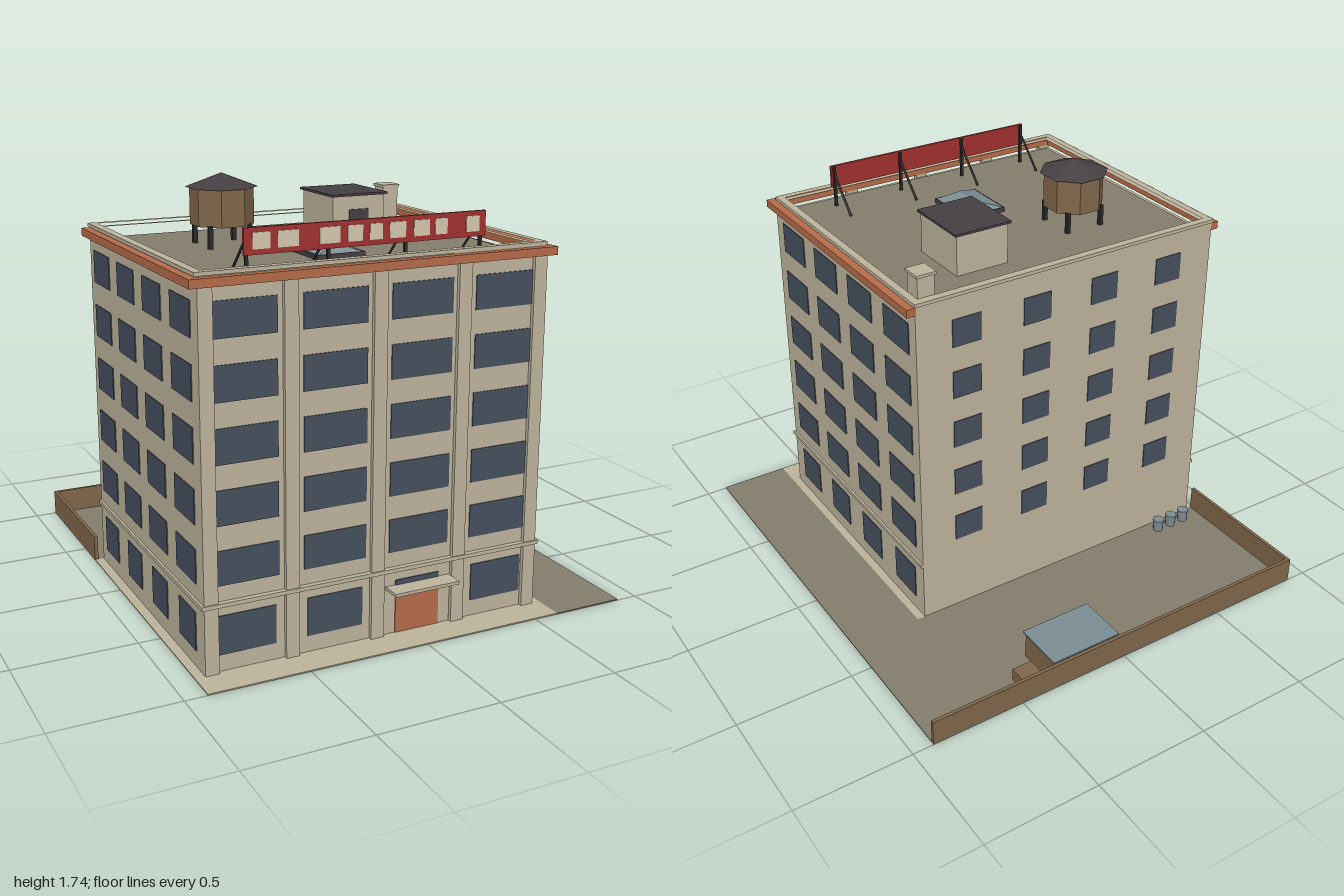
import * as THREE from 'three';

const mat = (name, color) => {
  const m = new THREE.MeshStandardMaterial({ color });
  m.name = name;
  return m;
};

export function createModel() {
  const stone = mat('tan stone', 0xbdb39c);
  const terracotta = mat('terracotta', 0xb56b49);
  const pane = mat('window blue', 0x454f5d);
  const gravel = mat('grey gravel', 0x827d6c);
  const wood = mat('brown wood', 0x80664a);
  const glass = mat('pale blue glass', 0x7b8d94);
  const slate = mat('dark roofing', 0x443f43);
  const metal = mat('black metal', 0x2a2a2a);
  const red = mat('sign red', 0xa03030);
  const cream = mat('sign cream', 0xd3c7ae);

  const model = new THREE.Group();
  model.name = 'building';
  const group = (name) => {
    const g = new THREE.Group();
    g.name = name;
    model.add(g);
    return g;
  };
  const add = (name, geo, material, parent = model) => {
    const m = new THREE.Mesh(geo, material);
    m.name = name;
    parent.add(m);
    return m;
  };
  // box given by its minimum and maximum on each axis
  const box = (name, x0, x1, y0, y1, z0, z1, material, parent) => {
    const g = new THREE.BoxGeometry(x1 - x0, y1 - y0, z1 - z0);
    g.translate((x0 + x1) / 2, (y0 + y1) / 2, (z0 + z1) / 2);
    return add(name, g, material, parent);
  };
  // slab from a plan outline of [x, z] points, with an optional hole
  const slab = (name, pts, hole, y0, y1, material, parent) => {
    const v = (list) => list.map(([x, z]) => new THREE.Vector2(x, -z));
    const s = new THREE.Shape(v(pts));
    if (hole) s.holes.push(new THREE.Path(v(hole)));
    const g = new THREE.ExtrudeGeometry(s, { depth: y1 - y0, bevelEnabled: false });
    g.rotateX(-Math.PI / 2).translate(0, y0, 0);
    return add(name, g, material, parent);
  };
  const rect = (x0, x1, z0, z1) => [[x0, z0], [x1, z0], [x1, z1], [x0, z1]];
  // round or square bar between two points
  const bar = (name, a, b, r, material, parent) => {
    const p = new THREE.Vector3(...a), q = new THREE.Vector3(...b);
    const m = add(name, new THREE.CylinderGeometry(r, r, p.distanceTo(q), 4), material, parent);
    m.position.copy(p).lerp(q, 0.5);
    m.quaternion.setFromUnitVectors(new THREE.Vector3(0, 1, 0), q.sub(p).normalize());
    return m;
  };

  // main walls
  const X0 = -0.87, X1 = 0.57, Z0 = -0.35, Z1 = 0.86, DECK = 1.445;

  // ground
  slab('yard', [[-0.91, -1], [0.91, -1], [0.91, 1], [0.605, 1], [0.605, Z0], [-0.91, Z0]], null, 0, 0.005, gravel);
  box('pavement', -0.91, 0.605, 0, 0.005, Z0, 1, stone);

  box('walls', X0, X1, 0.003, DECK - 0.004, Z0, Z1, stone);
  box('roofDeck', X0 + 0.02, X1 - 0.02, DECK - 0.004, DECK, Z0 + 0.02, Z1 - 0.02, gravel);

  // front pilasters
  const pilasters = group('pilasters');
  [-0.842, -0.515, -0.155, 0.204, 0.541].forEach((x) =>
    box('pilaster', x - 0.028, x + 0.028, 0.003, 1.454, Z1 - 0.005, 0.877, stone, pilasters));

  // bands wrapping the front and both sides
  const band = (name, out, z, y0, y1, material) => slab(name, [
    [X0 - out, Z0], [X0 + 0.005, Z0], [X0 + 0.005, Z1 - 0.005], [X1 - 0.005, Z1 - 0.005],
    [X1 - 0.005, Z0], [X1 + out, Z0], [X1 + out, z], [X0 - out, z]], null, y0, y1, material);
  band('beltCourse', 0.01, 0.882, 0.267, 0.283, stone);
  band('cornice', 0.035, 0.892, 1.454, 1.487, terracotta);

  // parapet and coping
  const inner = rect(-0.842, 0.542, -0.322, 0.832);
  slab('parapet', rect(X0, X1, Z0, Z1), inner, DECK - 0.004, 1.49, stone);
  slab('coping', rect(X0 - 0.006, X1 + 0.004, Z0 - 0.006, Z1 + 0.004), inner, 1.49, 1.505, stone);

  // windows
  const windows = group('windows');
  const T = 0.004;
  const onFront = (x, y, w, h) =>
    box('frontWindow', x - w / 2, x + w / 2, y - h / 2, y + h / 2, Z1 - T, Z1 + T, pane, windows);
  const onSides = (z, y, w, h) => [X0, X1].forEach((x) =>
    box('sideWindow', x - T, x + T, y - h / 2, y + h / 2, z - w / 2, z + w / 2, pane, windows));
  const frontX = [-0.694, -0.332, 0.029, 0.39];
  const sideZ = [0.708, 0.406, 0.104, -0.198];
  const backX = [-0.645, -0.315, 0.015, 0.345];
  for (let floor = 0; floor < 5; floor++) {
    const y = 0.412 + floor * 0.23;
    frontX.forEach((x) => onFront(x, y, 0.26, 0.135));
    sideZ.forEach((z) => onSides(z, y, 0.2, 0.135));
    backX.forEach((x) =>
      box('backWindow', x - 0.065, x + 0.065, y - 0.06, y + 0.06, Z0 - T, Z0 + T, pane, windows));
  }
  frontX.filter((x, i) => i !== 2).forEach((x) => onFront(x, 0.149, 0.232, 0.155));
  sideZ.forEach((z) => onSides(z, 0.149, 0.17, 0.155));

  // entrance
  const entrance = group('entrance');
  box('door', -0.07, 0.124, 0.005, 0.175, Z1 - T, Z1 + T, terracotta, entrance);
  box('transom', -0.07, 0.124, 0.18, 0.226, Z1 - T, Z1 + T, pane, entrance);
  box('canopy', -0.112, 0.172, 0.192, 0.205, Z1 - 0.005, 0.94, stone, entrance);

  // rooftop sign with posts and braces
  const sign = group('roofSign');
  box('signBoard', -0.653, 0.347, 1.53, 1.628, 0.764, 0.776, red, sign);
  [[-0.62, -0.551], [-0.522, -0.44], [-0.357, -0.274], [-0.245, -0.182], [-0.153, -0.1],
    [-0.07, -0.002], [0.032, 0.1], [0.124, 0.177], [0.26, 0.318]].forEach(([a, b]) =>
    box('signTile', a, b, 1.55, 1.61, 0.774, 0.779, cream, sign));
  [-0.638, -0.315, 0.006, 0.333].forEach((x) => {
    box('signPost', x - 0.006, x + 0.006, DECK, 1.625, 0.754, 0.766, metal, sign);
    bar('signBrace', [x, 1.59, 0.76], [x, DECK, 0.62], 0.006, metal, sign);
  });

  // water tank
  const tank = group('waterTank');
  tank.position.set(-0.44, 0, 0.055);
  const octagon = (name, rTop, rBottom, y0, y1, material) => {
    const g = new THREE.CylinderGeometry(rTop, rBottom, y1 - y0, 8).toNonIndexed();
    g.rotateY(Math.PI / 8).translate(0, (y0 + y1) / 2, 0);
    g.computeVertexNormals();
    add(name, g, material, tank);
  };
  octagon('tankBody', 0.129, 0.129, 1.53, 1.68, wood);
  octagon('tankRoof', 0.001, 0.147, 1.68, 1.735, slate);
  for (const sx of [-1, 1]) for (const sz of [-1, 1]) {
    const x = sx * 0.085, z = sz * 0.085;
    box('tankLeg', x - 0.009, x + 0.009, DECK, 1.535, z - 0.009, z + 0.009, metal, tank);
  }

  // stair house
  const house = group('stairHouse');
  box('houseWalls', 0.015, 0.255, DECK, 1.62, -0.133, 0.145, stone, house);
  box('houseRoof', 0.005, 0.265, 1.62, 1.63, -0.145, 0.155, slate, house);
  box('houseDoor', 0.09, 0.18, DECK, 1.565, 0.141, 0.149, slate, house);

  // hipped skylight
  const skylight = group('skylight');
  box('skylightCurb', -0.255, -0.05, DECK, 1.465, 0.305, 0.553, slate, skylight);
  const hip = new THREE.BoxGeometry(0.19, 0.03, 0.235);
  const p = hip.attributes.position;
  for (let i = 0; i < p.count; i++) {
    if (p.getY(i) > 0) p.setXYZ(i, p.getX(i) * 0.01, 0.015, p.getZ(i) * 0.63);
  }
  const hipFlat = hip.toNonIndexed();
  hipFlat.computeVertexNormals();
  add('skylightGlass', hipFlat, glass, skylight).position.set(-0.152, 1.48, 0.43);

  // chimney
  const chimney = group('chimney');
  box('chimneyStack', 0.465, 0.54, DECK, 1.59, -0.32, -0.245, stone, chimney);
  box('chimneyCap', 0.46, 0.546, 1.59, 1.602, -0.326, -0.239, stone, chimney);

  // yard walls, shed, crate and bins
  const yard = group('yardItems');
  box('backFence', -0.91, 0.91, 0, 0.112, -1, -0.985, wood, yard);
  box('sideFence', -0.91, -0.895, 0, 0.112, -0.985, Z0, wood, yard);
  box('shedWalls', 0.04, 0.345, 0, 0.126, -0.985, -0.785, wood, yard);
  box('shedRoof', 0.032, 0.353, 0.126, 0.133, -0.997, -0.775, glass, yard);
  box('crate', 0.375, 0.465, 0, 0.058, -0.965, -0.87, wood, yard);
  [-0.8, -0.728, -0.656].forEach((x) => {
    const bin = add('bin', new THREE.CylinderGeometry(0.024, 0.022, 0.05, 8), glass, yard);
    bin.position.set(x, 0.03, -0.403);
    const lid = add('binLid', new THREE.CylinderGeometry(0.027, 0.027, 0.008, 8), glass, yard);
    lid.position.set(x, 0.058, -0.403);
  });

  return model;
}
